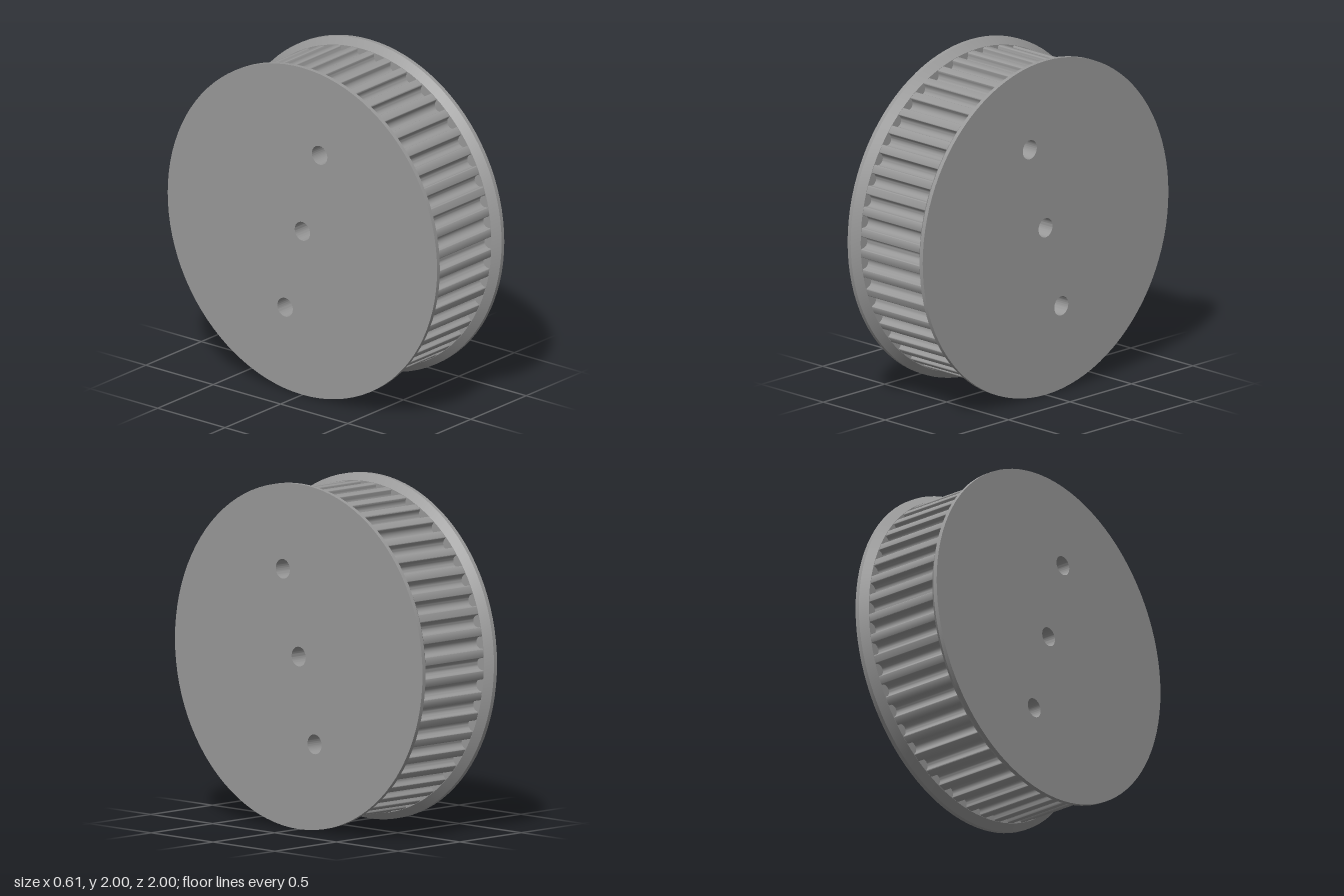
import * as THREE from 'three';
import { toCreasedNormals } from 'three/addons/utils/BufferGeometryUtils.js';

const TEETH = 48;
const TIP_R = 0.958;     // radius over the teeth
const CORE_R = 0.85;     // solid hub inside the toothed ring
const HALF_WIDTH = 0.303;
const BELT_HALF = 0.237; // half width between the flanges
const HOLE_R = 0.057;

const material = new THREE.MeshStandardMaterial({ color: 0x999999 });

function addMesh(group, name, geometry) {
  const mesh = new THREE.Mesh(toCreasedNormals(geometry, 0.6), material);
  mesh.name = name;
  group.add(mesh);
}

function circle(Type, x, y, r) {
  const path = new Type();
  path.absarc(x, y, r, 0, Math.PI * 2);
  return path;
}

// Extrude a side-on profile along x, centred on the axle
function extrudeAlongX(shape, halfLength) {
  const geometry = new THREE.ExtrudeGeometry(shape, {
    depth: halfLength * 2, bevelEnabled: false, curveSegments: 48,
  });
  geometry.translate(0, 0, -halfLength);
  geometry.rotateY(Math.PI / 2);
  return geometry;
}

// One groove: [sideways offset, depth], with rounded lips and a round floor
function grooveProfile() {
  const r = 0.036, lip = 0.008, floorCentre = 0.016;
  const half = [];
  for (let i = 0; i <= 5; i++) {
    const a = (i / 5) * Math.PI / 2;
    half.push([-(r + lip) + lip * Math.sin(a), lip * (1 - Math.cos(a))]);
  }
  for (let i = 0; i <= 7; i++) {
    const a = (i / 7) * Math.PI / 2;
    half.push([-r * Math.cos(a), floorCentre + r * Math.sin(a)]);
  }
  const mirrored = half.slice(0, -1).reverse().map(([s, d]) => [-s, d]);
  return [...half, ...mirrored];
}

function toothedShape() {
  const groove = grooveProfile();
  const points = [];
  for (let t = 0; t < TEETH; t++) {
    const centre = (t / TEETH) * Math.PI * 2;
    for (const [side, depth] of groove) {
      const angle = centre + side / TIP_R;
      const r = TIP_R - depth;
      points.push(new THREE.Vector2(r * Math.cos(angle), r * Math.sin(angle)));
    }
  }
  return new THREE.Shape(points);
}

export function createModel() {
  const pulley = new THREE.Group();
  pulley.name = 'timingPulley';

  // Hub with the axle bore and two opposite bolt holes
  const hub = circle(THREE.Shape, 0, 0, CORE_R);
  for (const [x, y] of [[0, 0], [-0.128, 0.495], [0.128, -0.495]]) {
    hub.holes.push(circle(THREE.Path, x, y, HOLE_R));
  }
  addMesh(pulley, 'hub', extrudeAlongX(hub, HALF_WIDTH));

  // Belt teeth
  const ring = toothedShape();
  ring.holes.push(circle(THREE.Path, 0, 0, CORE_R));
  addMesh(pulley, 'toothedRing', extrudeAlongX(ring, BELT_HALF));

  // Bevelled belt flanges, one per side
  const profile = [
    [CORE_R, BELT_HALF], [TIP_R + 0.002, BELT_HALF], [1, 0.278],
    [1, HALF_WIDTH], [CORE_R, HALF_WIDTH],
  ].map(([r, x]) => new THREE.Vector2(r, x));
  for (const side of [1, -1]) {
    const flange = new THREE.LatheGeometry(profile, 96);
    flange.rotateZ(-side * Math.PI / 2);
    addMesh(pulley, side > 0 ? 'leftFlange' : 'rightFlange', flange);
  }

  // Stand the wheel on the ground
  for (const mesh of pulley.children) mesh.position.y = 1;
  return pulley;
}
